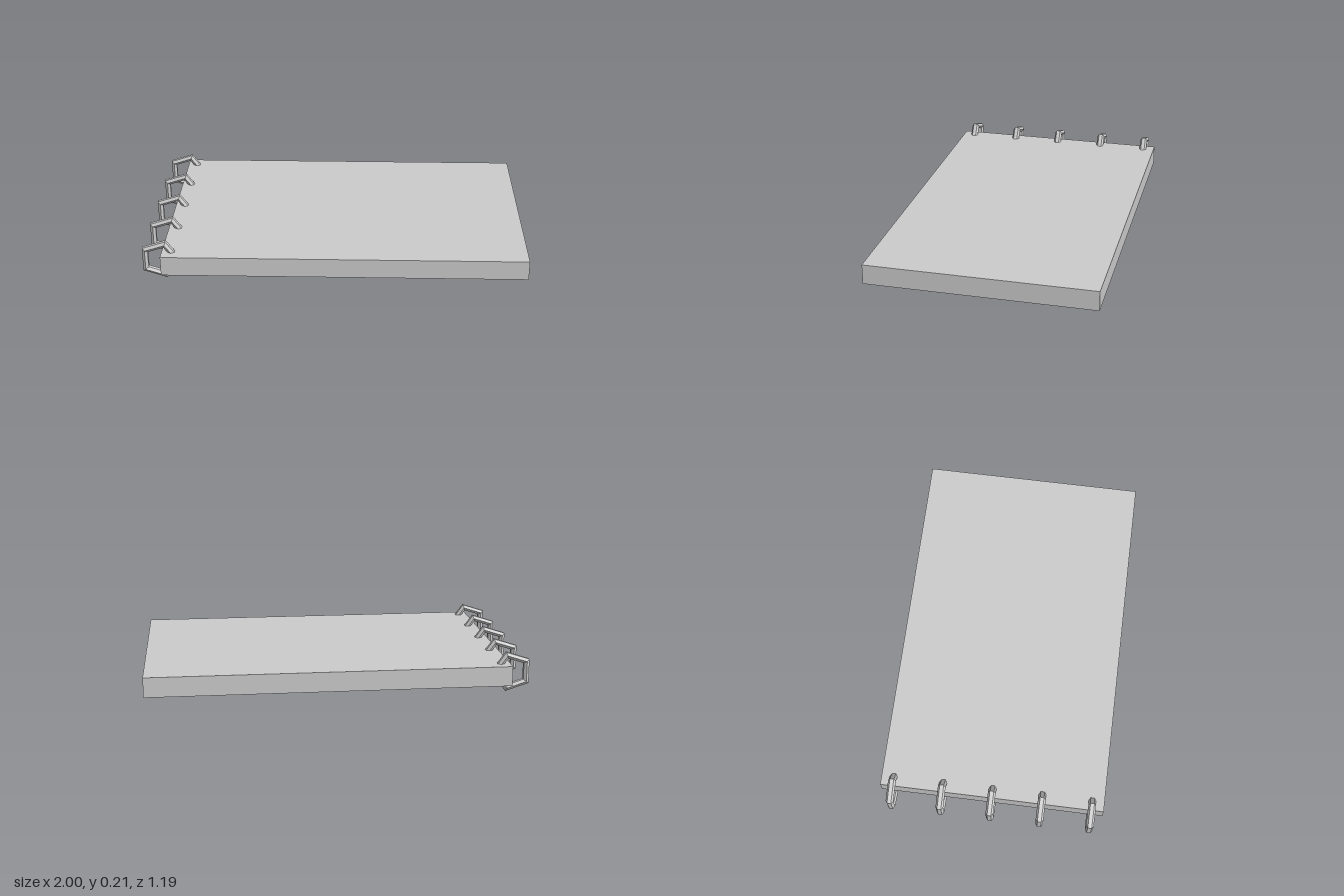
import * as THREE from 'three';

const material = new THREE.MeshStandardMaterial({ color: 0xcccccc, flatShading: true });

// Five-sided ring with a hexagonal wire section, standing in the xy plane, one corner towards +x
function ringGeometry(radius, wire) {
  const section = [];
  for (let i = 0; i <= 6; i++) {
    const a = (i - 0.5) * Math.PI / 3;
    section.push(new THREE.Vector2(radius + wire * Math.cos(a), wire * Math.sin(a)));
  }
  return new THREE.LatheGeometry(section, 5).rotateX(Math.PI / 2).rotateZ(Math.PI / 2);
}

export function createModel() {
  const group = new THREE.Group();
  group.name = 'notebook';

  // Page block
  const pages = new THREE.Mesh(new THREE.BoxGeometry(1.9, 0.105, 1.194), material);
  pages.name = 'pageBlock';
  pages.position.set(0.05, 0.096, 0);
  group.add(pages);

  // Binding rings along the left edge of the block
  const geometry = ringGeometry(0.0925, 0.0205);
  for (let i = 0; i < 5; i++) {
    const ring = new THREE.Mesh(geometry, material);
    ring.name = `bindingRing${i + 1}`;
    ring.position.set(-0.911, 0.105, (i - 2) * 0.266);
    group.add(ring);
  }
  return group;
}
